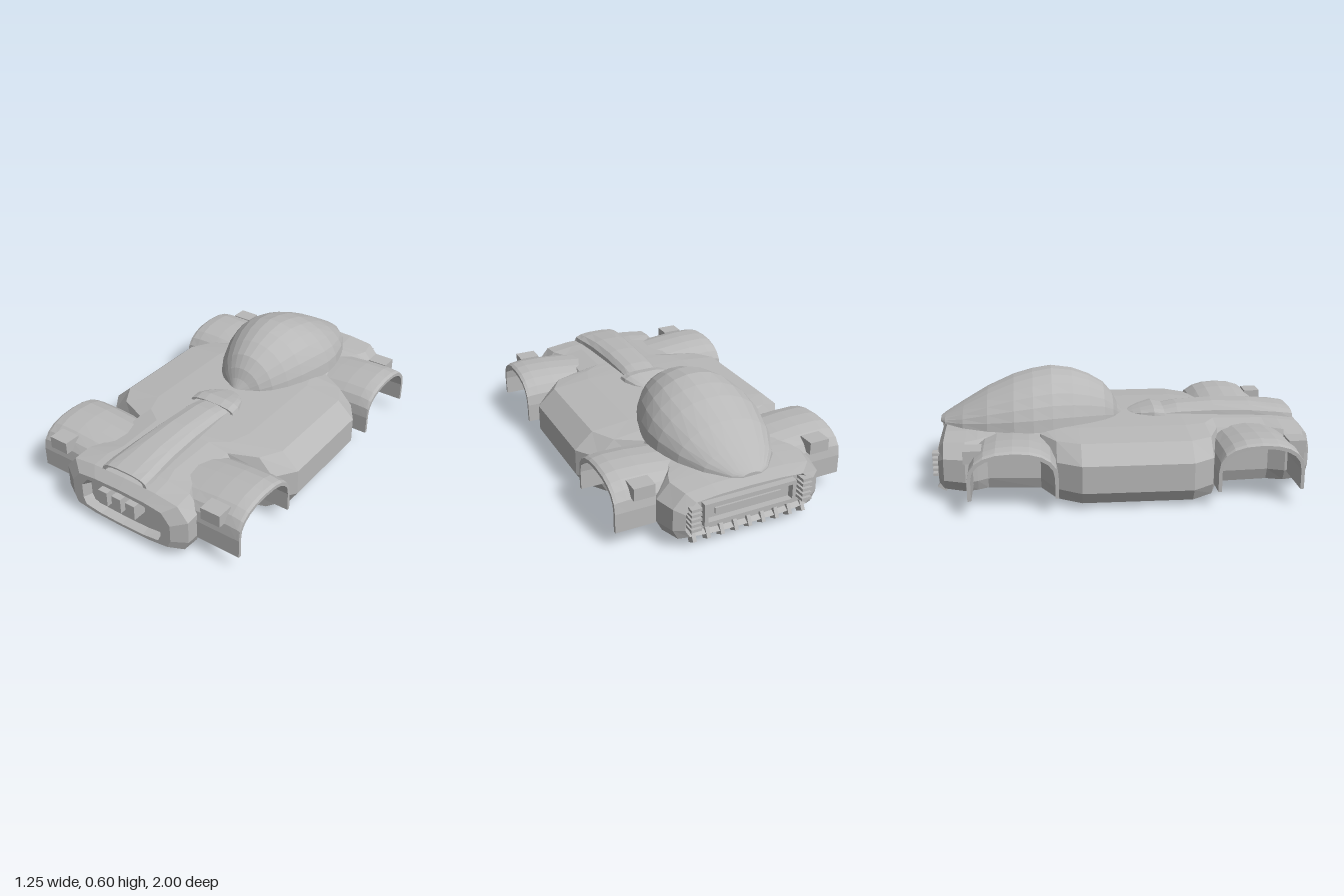
import * as THREE from 'three';

const grey = new THREE.MeshStandardMaterial({ color: 0xb8b8b8 });
grey.name = 'bodyGrey';

// Skins a row of equal-length closed rings with flat facets and closes both ends.
// Rings run counter-clockwise when seen from the end they advance towards.
function loft(rings) {
  const pos = [];
  const quad = (a, b, c, d) => pos.push(...a, ...b, ...c, ...a, ...c, ...d);
  const n = rings[0].length;
  for (let i = 0; i < rings.length - 1; i++) {
    for (let j = 0; j < n; j++) {
      const k = (j + 1) % n;
      quad(rings[i][j], rings[i][k], rings[i + 1][k], rings[i + 1][j]);
    }
  }
  const first = rings[0], last = rings[rings.length - 1];
  for (let j = 0; j < n / 2 - 1; j++) {
    quad(last[j], last[j + 1], last[n - 2 - j], last[n - 1 - j]);
    quad(first[n - 1 - j], first[n - 2 - j], first[j + 1], first[j]);
  }
  const g = new THREE.BufferGeometry();
  g.setAttribute('position', new THREE.Float32BufferAttribute(pos, 3));
  g.computeVertexNormals();
  return g;
}

// Chamfered hull section: half width w, top t, bottom b
function hullRing([z, w, t, b]) {
  const h = t - b;
  const half = [
    [0.55 * w, b + 0.003], [0.93 * w, b + 0.08 * h], [w, b + 0.27 * h],
    [w, b + 0.68 * h], [0.84 * w, b + 0.93 * h], [0.5 * w, t - 0.004],
  ];
  return [
    [0, b, z], ...half.map(([x, y]) => [x, y, z]),
    [0, t, z], ...half.reverse().map(([x, y]) => [-x, y, z]),
  ];
}

// Half-elliptical section standing on a base line
function domeRing(z, w, top, base, steps, power = 1) {
  const ring = [];
  for (let i = 0; i <= steps; i++) {
    const a = (i / steps) * Math.PI, c = Math.cos(a);
    ring.push([w * Math.sign(c) * Math.abs(c) ** power, base + (top - base) * Math.sin(a) ** power, z]);
  }
  return ring;
}

// Hollow arch section of a wheel cover at position x
function archRing(x, zc, half, top) {
  const bottom = 0.09, spring = 0.19, thick = 0.018, steps = 10;
  const line = (r, t) => {
    const pts = [[x, bottom, zc - r]];
    for (let i = 0; i <= steps; i++) {
      const a = (i / steps) * Math.PI, c = Math.cos(a);
      pts.push([x, spring + (t - spring) * Math.sin(a) ** 0.85, zc - r * Math.sign(c) * Math.abs(c) ** 0.85]);
    }
    pts.push([x, bottom, zc + r]);
    return pts;
  };
  return [...line(half, top), ...line(half - thick, top - thick).reverse()];
}

export function createModel() {
  const model = new THREE.Group();
  model.name = 'car';
  const add = (name, geometry, x = 0, y = 0, z = 0) => {
    const m = new THREE.Mesh(geometry, grey);
    m.name = name;
    m.position.set(x, y, z);
    model.add(m);
    return m;
  };
  const box = (name, w, h, d, x, y, z) => add(name, new THREE.BoxGeometry(w, h, d), x, y, z);

  // Hull, from the sunken tail panel to the sunken nose grille
  add('hull', loft([
    [-0.945, 0.33, 0.255, 0.075], [-0.97, 0.345, 0.27, 0.06],
    [-0.94, 0.395, 0.318, 0.04], [-0.83, 0.425, 0.325, 0.03],
    [-0.77, 0.40, 0.33, 0.027], [-0.72, 0.36, 0.335, 0.022],
    [-0.45, 0.36, 0.343, 0.008], [-0.37, 0.52, 0.345, 0.005],
    [-0.25, 0.60, 0.348, 0.003], [0.31, 0.60, 0.346, 0],
    [0.42, 0.52, 0.342, 0], [0.48, 0.34, 0.34, 0],
    [0.75, 0.33, 0.333, 0.003], [0.83, 0.38, 0.33, 0.012],
    [0.93, 0.385, 0.318, 0.028], [0.975, 0.31, 0.275, 0.045],
    [0.975, 0.25, 0.255, 0.06], [0.925, 0.235, 0.235, 0.065],
  ].map(hullRing)));

  // Egg-shaped canopy: z, half width, top
  add('canopy', loft([
    [-0.975, 0.05, 0.342], [-0.95, 0.10, 0.358], [-0.85, 0.19, 0.418],
    [-0.72, 0.26, 0.493], [-0.58, 0.302, 0.556], [-0.48, 0.31, 0.585],
    [-0.38, 0.297, 0.602], [-0.27, 0.265, 0.588], [-0.18, 0.225, 0.555],
    [-0.1, 0.175, 0.507], [-0.05, 0.125, 0.447], [-0.025, 0.08, 0.395],
    [0.01, 0.025, 0.345],
  ].map(([z, w, t]) => domeRing(z, w, t, 0.325, 13))));

  // Hood spine with an inlet sunk into its front end
  add('hoodSpine', loft([
    [0.18, 0.105, 0.365, 0.31], [0.3, 0.11, 0.388, 0.31],
    [0.5, 0.115, 0.398, 0.31], [0.7, 0.125, 0.392, 0.31],
    [0.86, 0.14, 0.372, 0.31], [0.93, 0.142, 0.358, 0.31],
    [0.93, 0.12, 0.35, 0.316], [0.89, 0.115, 0.348, 0.32],
  ].map(([z, w, t, b]) => domeRing(z, w, t, b, 7, 0.7))));

  // Rounded scoop behind the spine, open to the front
  add('hoodScoop', loft([
    [0.035, 0.035, 0.347, 0.335], [0.06, 0.075, 0.355, 0.335],
    [0.1, 0.11, 0.367, 0.335], [0.17, 0.14, 0.385, 0.335],
    [0.225, 0.142, 0.375, 0.335], [0.225, 0.125, 0.368, 0.335],
    [0.19, 0.12, 0.368, 0.335],
  ].map(([z, w, t, b]) => domeRing(z, w, t, b, 7, 0.7))));

  // Wheel covers with a box lamp on each
  const covers = [['front', 0.643, 0.218, 0.845], ['rear', -0.588, 0.222, -0.785]];
  const stations = [[0.22, 0.32], [0.34, 0.333], [0.45, 0.343], [0.56, 0.344], [0.61, 0.335], [0.625, 0.325]];
  for (const [end, zc, half, lampZ] of covers) {
    for (const side of [1, -1]) {
      const hand = side > 0 ? 'Left' : 'Right';
      const rings = stations.map(([x, top]) => archRing(side * x, zc, half, top));
      add(`${end}${hand}WheelCover`, loft(side > 0 ? rings : rings.reverse()));
      box(`${end}${hand}Lamp`, 0.11, 0.065, 0.09, side * 0.483, 0.283, lampZ);
    }
  }

  // Nose grille bars
  for (const x of [-0.087, 0, 0.087]) box('grilleBar', 0.056, 0.08, 0.085, x, 0.2, 0.9575);

  // Tail: frame around a long slot, side louvres and lower fins
  for (const y of [0.125, 0.225]) box('tailFrameRail', 0.5, 0.02, 0.04, 0, y, -0.96);
  for (const side of [1, -1]) {
    box('tailFramePost', 0.02, 0.12, 0.04, side * 0.24, 0.175, -0.96);
    for (let i = 0; i < 5; i++) {
      box('tailLouvre', 0.055, 0.015, 0.06, side * 0.302, 0.125 + i * 0.027, -0.97);
    }
  }
  box('tailSlotBar', 0.36, 0.03, 0.02, 0, 0.17, -0.945);
  for (let i = 0; i < 9; i++) {
    box('tailFin', 0.02, 0.055, 0.05, (i - 4) * 0.075, 0.062, -0.948).rotation.x = 0.5;
  }
  return model;
}
